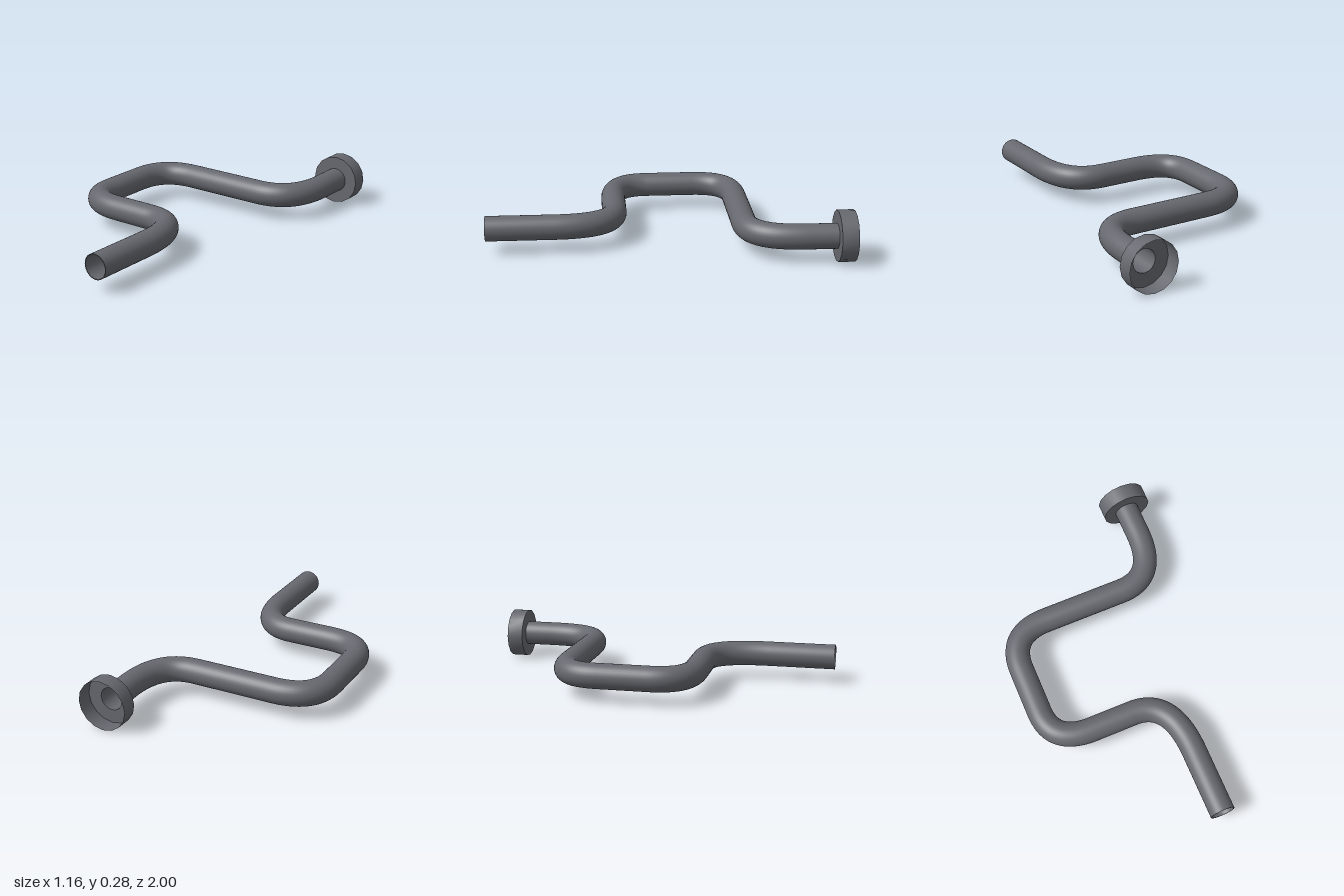
import * as THREE from 'three';
import { toCreasedNormals } from 'three/addons/utils/BufferGeometryUtils.js';

const Y = 0.145;        // height of the pipe's centre line
const RADIUS = 0.07;
const BORE = 0.065;
const FLANGE_RADIUS = 0.142;

// Centre line: straight runs joined by curved elbows [corner, length before, length after]
function createPath() {
  const v = (x, z) => new THREE.Vector3(x, Y, z);
  const start = v(0.2, 1), end = v(0.44, -0.908);
  const elbows = [
    [v(0.2, 0.283), 0.34, 0.23],
    [v(-0.51, 0.283), 0.24, 0.21],
    [v(-0.51, -0.432), 0.23, 0.24],
    [v(0.44, -0.432), 0.24, 0.31],
  ];
  const path = new THREE.CurvePath();
  let last = start;
  elbows.forEach(([corner, before, after], i) => {
    const prev = i ? elbows[i - 1][0] : start;
    const next = i < elbows.length - 1 ? elbows[i + 1][0] : end;
    const a = corner.clone().add(prev.clone().sub(corner).setLength(before));
    const b = corner.clone().add(next.clone().sub(corner).setLength(after));
    path.add(new THREE.LineCurve3(last, a));
    path.add(new THREE.QuadraticBezierCurve3(a, corner, b));
    last = b;
  });
  path.add(new THREE.LineCurve3(last, end));
  return path;
}

export function createModel() {
  const group = new THREE.Group();
  const material = new THREE.MeshStandardMaterial({ color: 0x66686f, side: THREE.DoubleSide });
  const add = (name, geometry) => {
    const mesh = new THREE.Mesh(geometry, material);
    mesh.name = name;
    group.add(mesh);
    return mesh;
  };

  // Bent pipe with a thin wall
  const path = createPath();
  add('pipe', new THREE.TubeGeometry(path, 200, RADIUS, 32));
  add('pipeBore', new THREE.TubeGeometry(path, 200, BORE, 32));
  add('pipeRim', new THREE.RingGeometry(BORE, RADIUS, 32)).position.set(0.2, Y, 1);

  // Open cup flange at the rear end, with a hole into the pipe
  const profile = [
    new THREE.Vector2(BORE, 0),
    new THREE.Vector2(FLANGE_RADIUS, 0),
    new THREE.Vector2(FLANGE_RADIUS, 0.092),
  ];
  const flange = toCreasedNormals(new THREE.LatheGeometry(profile, 16), Math.PI / 6);
  flange.rotateX(-Math.PI / 2);
  add('flange', flange).position.set(0.44, Y, -0.908);

  return group;
}
